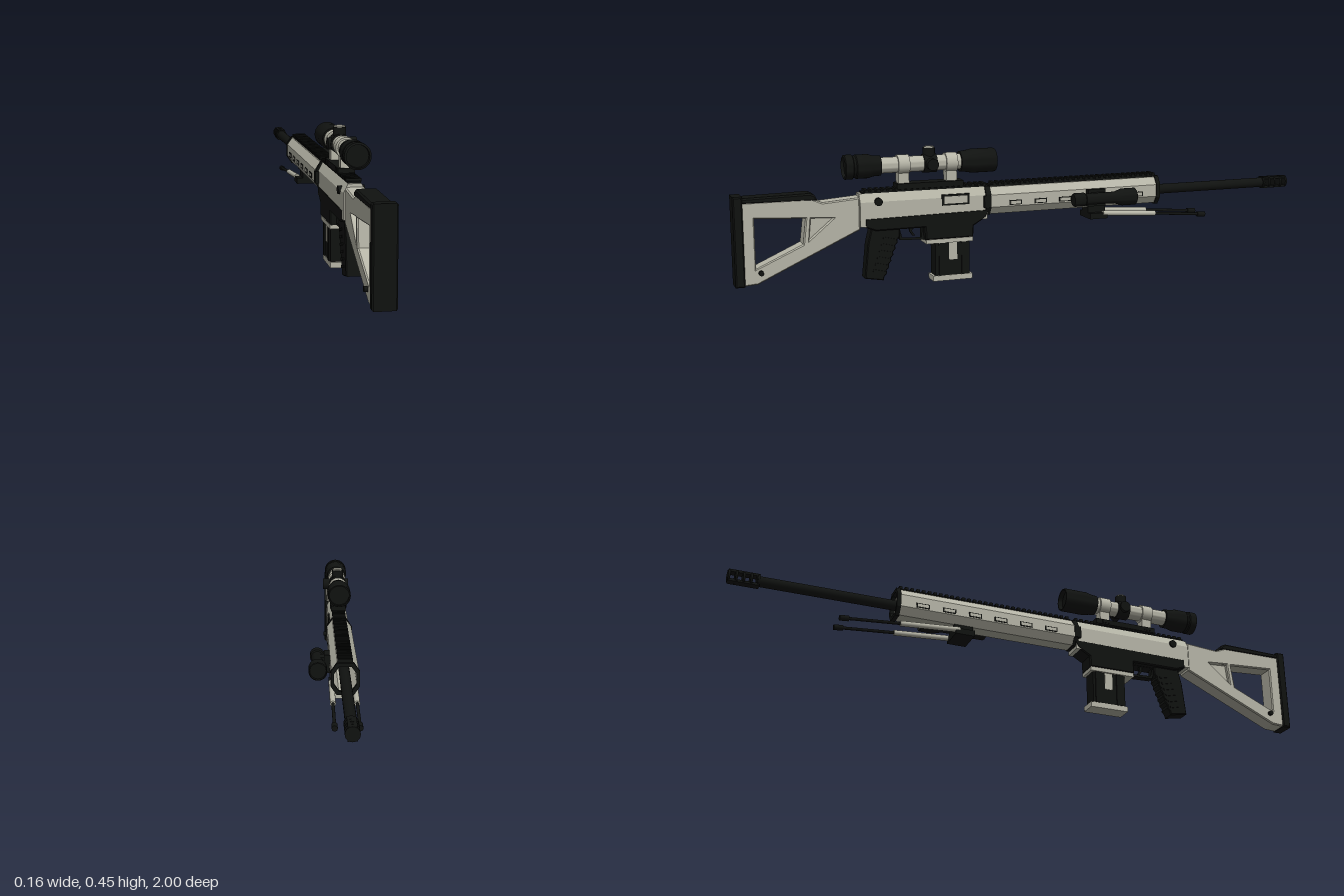
import * as THREE from 'three';
import { toCreasedNormals } from 'three/addons/utils/BufferGeometryUtils.js';

const light = new THREE.MeshStandardMaterial({ color: 0xb6b5a7 });
light.name = 'stone grey';
const black = new THREE.MeshStandardMaterial({ color: 0x101210 });
black.name = 'matte black';

export function createModel() {
  const root = new THREE.Group();
  root.name = 'rifle';
  root.position.x = -0.033;

  const add = (name, geo, mat, x = 0, y = 0, z = 0) => {
    const m = new THREE.Mesh(geo, mat);
    m.name = name;
    m.position.set(x, y, z);
    root.add(m);
    return m;
  };
  // box given by its width and its y and z ranges
  const box = (name, mat, w, y0, y1, z0, z1, x = 0) =>
    add(name, new THREE.BoxGeometry(w, y1 - y0, z1 - z0), mat, x, (y0 + y1) / 2, (z0 + z1) / 2);
  const toPath = (pts, T = THREE.Shape) => new T(pts.map(p => new THREE.Vector2(...p)));
  // side outline in (z, y), extruded across x
  const side = (name, mat, pts, w, holes = [], bevel = 0) => {
    const s = toPath(pts);
    s.holes = holes.map(h => toPath(h, THREE.Path));
    const d = w - 2 * bevel;
    const g = new THREE.ExtrudeGeometry(s, {
      depth: d, bevelEnabled: bevel > 0, bevelSize: bevel, bevelThickness: bevel, bevelOffset: -bevel, bevelSegments: 1,
    });
    g.translate(0, 0, -d / 2).rotateY(-Math.PI / 2);
    return add(name, g, mat);
  };
  // cross-section in (x, y), extruded along z
  const prism = (name, mat, pts, z0, z1, hole) => {
    const s = toPath(pts);
    if (hole) s.holes = [toPath(hole, THREE.Path)];
    return add(name, new THREE.ExtrudeGeometry(s, { depth: z1 - z0, bevelEnabled: false }), mat, 0, 0, z0);
  };
  // round part along z from (radius, z) points, z ascending
  const turned = (name, mat, pts, x, y) => {
    const g = new THREE.LatheGeometry(pts.map(p => new THREE.Vector2(...p)), 28);
    return add(name, toCreasedNormals(g.rotateX(Math.PI / 2), 0.5), mat, x, y, 0);
  };
  const rod = (name, mat, a, b, r, seg = 16) => {
    const A = new THREE.Vector3(...a), B = new THREE.Vector3(...b), d = B.clone().sub(A);
    const m = add(name, new THREE.CylinderGeometry(r, r, d.length(), seg), mat);
    m.position.copy(A).add(B).multiplyScalar(0.5);
    m.quaternion.setFromUnitVectors(new THREE.Vector3(0, 1, 0), d.normalize());
    return m;
  };
  const octagon = (w, y0, y1, cx, cy) => [
    [-w + cx, y0], [w - cx, y0], [w, y0 + cy], [w, y1 - cy],
    [w - cx, y1], [-w + cx, y1], [-w, y1 - cy], [-w, y0 + cy]];

  // Stock with an open rear window and a recessed front panel
  const rearWindow = [[0.935, 0.25], [0.935, 0.09], [0.785, 0.158], [0.775, 0.24]];
  const frontPanel = [[0.758, 0.24], [0.685, 0.236], [0.766, 0.168]];
  side('stock', light, [[0.6, 0.297], [0.6, 0.192], [0.93, 0.04], [0.975, 0.037], [0.975, 0.303],
    [0.755, 0.303], [0.72, 0.288]], 0.06, [rearWindow, frontPanel], 0.004);
  side('stockPanel', light, frontPanel, 0.03);
  side('cheekRest', black, [[0.735, 0.296], [0.975, 0.298], [0.975, 0.316], [0.76, 0.32], [0.745, 0.314]], 0.064, [], 0.005);
  side('buttPad', black, [[0.97, 0.035], [1, 0.035], [1, 0.322], [0.97, 0.322]], 0.07, [], 0.004);
  rod('slingPin', black, [-0.041, 0.077, 0.92], [0.041, 0.077, 0.92], 0.008);

  // Receiver
  prism('receiver', light, [[-0.034, 0.2], [0.034, 0.2], [0.034, 0.28], [0.02, 0.307], [-0.02, 0.307], [-0.034, 0.28]], 0.17, 0.6);
  rod('takedownPin', black, [-0.04, 0.28, 0.54], [0.04, 0.28, 0.54], 0.013);
  box('ejectionPortFrame', black, 0.006, 0.254, 0.29, 0.233, 0.328, 0.033);
  box('ejectionPortCover', light, 0.006, 0.26, 0.284, 0.241, 0.32, 0.035);
  prism('receiverCollar', black, octagon(0.041, 0.212, 0.308, 0.016, 0.025), 0.158, 0.176);
  box('collarClamp', black, 0.09, 0.238, 0.278, 0.16, 0.183);

  // Lower receiver, magazine well and trigger
  side('lowerReceiver', black, [[0.585, 0.228], [0.585, 0.198], [0.55, 0.185], [0.385, 0.185], [0.385, 0.142],
    [0.22, 0.142], [0.218, 0.18], [0.175, 0.205], [0.162, 0.232]], 0.07, [], 0.004);
  side('triggerGuard', black, [[0.475, 0.19], [0.465, 0.145], [0.385, 0.142], [0.38, 0.19]], 0.026,
    [[[0.466, 0.184], [0.458, 0.153], [0.393, 0.15], [0.39, 0.184]]]);
  side('trigger', black, [[0.432, 0.188], [0.42, 0.188], [0.422, 0.17], [0.412, 0.156], [0.42, 0.155], [0.43, 0.17]], 0.01);

  // Grip with finger ridges along its front edge
  const grip = [[0.56, 0.2], [0.575, 0.14], [0.587, 0.028], [0.525, 0.017]];
  for (let i = 0; i < 7; i++) {
    const y = 0.03 + i * 0.02, z = 0.522 - i * 0.0075;
    grip.push([z, y], [z - 0.009, y + 0.01]);
  }
  grip.push([0.468, 0.2]);
  side('grip', black, grip, 0.046, [], 0.003);
  for (const s of [-1, 1]) for (let i = 0; i < 6; i++) {
    const g = box('gripRidge', black, 0.006, 0.045 + i * 0.021, 0.053 + i * 0.021, 0.522 - i * 0.007, 0.56 - i * 0.007, s * 0.023);
    g.rotation.x = -0.25;
  }

  // Magazine
  box('magazineRim', light, 0.068, 0.129, 0.143, 0.222, 0.382);
  box('magazine', black, 0.052, 0.015, 0.135, 0.232, 0.35);
  for (const s of [-1, 1]) {
    box('magazineWindow', light, 0.006, 0.07, 0.13, 0.275, 0.303, s * 0.025);
    for (const z of [0.24, 0.318]) box('magazineRib', black, 0.006, 0.018, 0.13, z, z + 0.02, s * 0.027);
  }
  box('magazineBase', light, 0.056, 0, 0.018, 0.222, 0.358);

  // Hollow handguard with side slots and a black front cap
  prism('handguard', light, octagon(0.042, 0.214, 0.305, 0.018, 0.025), -0.455, 0.16, octagon(0.035, 0.221, 0.298, 0.015, 0.021));
  prism('handguardCap', black, octagon(0.044, 0.21, 0.309, 0.018, 0.026), -0.466, -0.452, octagon(0.034, 0.222, 0.297, 0.015, 0.021));
  for (const s of [-1, 1]) for (let i = 0; i < 6; i++) {
    const z = -0.4 + i * 0.09;
    box('slotEdge', black, 0.004, 0.243, 0.259, z, z + 0.045, s * 0.0415);
    box('slot', light, 0.004, 0.246, 0.256, z + 0.004, z + 0.041, s * 0.0425);
  }

  // Toothed top rails
  const rail = (z0, z1) => {
    box('topRail', black, 0.04, 0.3, 0.312, z0, z1);
    const n = Math.round((z1 - z0) / 0.02), step = (z1 - z0) / n;
    for (let i = 0; i < n; i++) box('railTooth', black, 0.046, 0.31, 0.319, z0 + i * step, z0 + (i + 0.55) * step);
  };
  rail(-0.455, 0.155);
  rail(0.17, 0.59);

  // Barrel and ported muzzle brake
  rod('barrel', black, [0, 0.257, 0.16], [0, 0.257, -0.91], 0.017, 24);
  for (let i = 0; i < 5; i++) {
    const z = -0.9 - i * 0.0232;
    rod('brakeRing', black, [0, 0.257, z], [0, 0.257, z - 0.007], 0.021, 24);
  }
  for (const y of [0.241, 0.273]) box('brakeBar', black, 0.026, y - 0.004, y + 0.004, -0.998, -0.9);

  // Scope, its rings and its turrets
  const sy = 0.393;
  turned('scopeTube', light, [[0, 0.17], [0.026, 0.17], [0.026, 0.56], [0, 0.56]], 0, sy);
  turned('objective', black, [[0, 0.15], [0.034, 0.15], [0.034, 0.134], [0.038, 0.134], [0.04, 0.14], [0.04, 0.215],
    [0.035, 0.24], [0.034, 0.256], [0, 0.256]], 0, sy);
  turned('eyepiece', black, [[0, 0.525], [0.033, 0.525], [0.034, 0.55], [0.039, 0.565], [0.039, 0.605],
    [0.036, 0.608], [0.036, 0.615], [0.04, 0.618], [0.04, 0.642], [0.034, 0.645], [0.033, 0.635], [0, 0.635]], 0, sy);
  box('scopeBase', black, 0.052, 0.315, 0.333, 0.25, 0.475);
  for (const z of [0.288, 0.45]) {
    rod('scopeRing', light, [0, sy, z - 0.019], [0, sy, z + 0.019], 0.032, 24);
    box('scopeMount', light, 0.034, 0.328, 0.375, z - 0.018, z + 0.018);
    box('mountClamp', black, 0.056, 0.32, 0.332, z - 0.014, z + 0.014);
  }
  rod('turretCollar', black, [0, sy, 0.338], [0, sy, 0.382], 0.031, 24);
  rod('topTurret', black, [0, sy, 0.36], [0, 0.444, 0.36], 0.02, 20);
  rod('topTurretCap', light, [0, 0.443, 0.36], [0, 0.448, 0.36], 0.017, 20);
  rod('sideTurret', black, [-0.038, sy, 0.36], [0.052, sy, 0.36], 0.019, 20);

  // Side lamp and its bracket
  turned('lamp', black, [[0, -0.34], [0.025, -0.34], [0.026, -0.35], [0.029, -0.348], [0.029, -0.3], [0.02, -0.272],
    [0.019, -0.165], [0.023, -0.16], [0.023, -0.125], [0.02, -0.12], [0, -0.12]], 0.081, 0.252);
  box('lampBracket', black, 0.02, 0.222, 0.28, -0.25, -0.185, 0.05);
  box('lampClamp', black, 0.03, 0.234, 0.27, -0.24, -0.195, 0.064);

  // Bipod folded forward
  box('bipodMount', black, 0.05, 0.185, 0.216, -0.265, -0.2);
  box('bipodYoke', black, 0.09, 0.174, 0.194, -0.265, -0.2);
  for (const s of [-1, 1]) {
    const x = s * 0.037;
    rod('bipodLeg', light, [x, 0.192, -0.25], [x, 0.178, -0.45], 0.009);
    rod('bipodLegTip', black, [x, 0.178, -0.45], [x, 0.163, -0.635], 0.005);
    rod('bipodFoot', black, [x, 0.1645, -0.618], [x, 0.162, -0.648], 0.009);
  }

  const model = new THREE.Group();
  model.name = 'model';
  model.add(root);
  return model;
}
